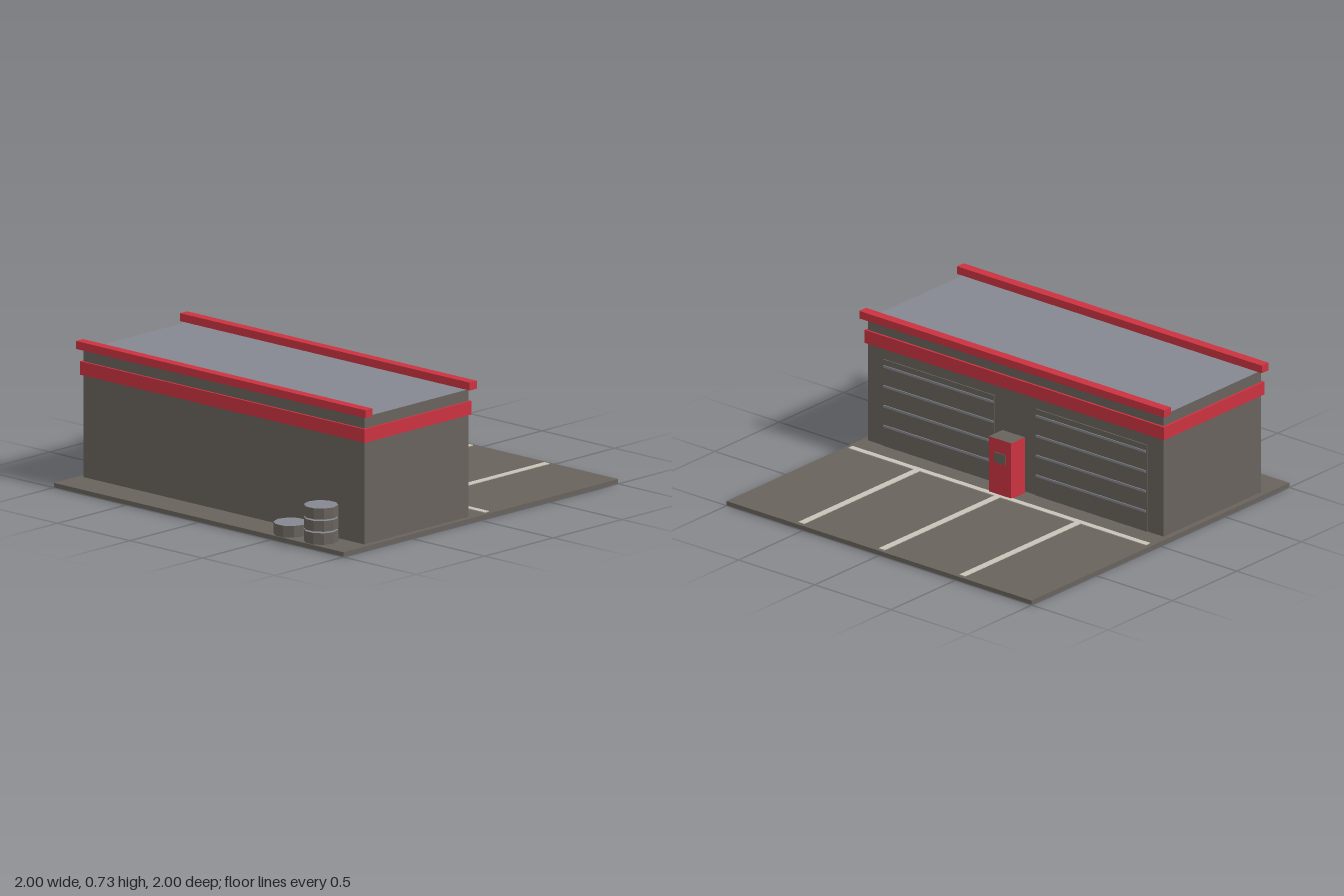
import * as THREE from 'three';

export function createModel() {
  const root = new THREE.Group();
  const mat = (name, color) => {
    const m = new THREE.MeshStandardMaterial({ color });
    m.name = name;
    return m;
  };
  const concrete = mat('warm grey', 0x69635d);
  const metal = mat('blue grey', 0x868891);
  const red = mat('red', 0xcc3340);
  const paint = mat('pale line paint', 0xc8c4b8);

  // Box given by its extents; side order is +x, -x, +y, -y, +z, -z
  function box(name, material, [x0, x1], [y0, y1], [z0, z1], parent = root) {
    const mesh = new THREE.Mesh(new THREE.BoxGeometry(x1 - x0, y1 - y0, z1 - z0), material);
    mesh.position.set((x0 + x1) / 2, (y0 + y1) / 2, (z0 + z1) / 2);
    mesh.name = name;
    parent.add(mesh);
    return mesh;
  }

  // Forecourt slab and parking lines
  box('groundSlab', concrete, [-1, 1], [0.002, 0.025], [-1, 1]);
  for (const x of [-0.528, 0, 0.528]) {
    box('parkingLine', paint, [x - 0.018, x + 0.018], [0.024, 0.029], [-0.98, -0.085]);
  }
  box('crossLine', paint, [-0.975, 0.975], [0.024, 0.029], [-0.085, -0.052]);

  // Building with a metal roof face
  box('building', [concrete, concrete, metal, concrete, concrete, concrete],
    [-0.97, 0.97], [0.02, 0.685], [0.06, 0.815]);
  box('wallBand', red, [-0.982, 0.982], [0.555, 0.625], [0.048, 0.827]);
  for (const z of [0.055, 0.813]) {
    box('roofRail', red, [-1, 1], [0.688, 0.729], [z - 0.026, z + 0.026]);
  }

  // Two roller doors with slats on the back wall
  for (const x of [-0.5, 0.5]) {
    const door = new THREE.Group();
    door.name = 'rollerDoor';
    root.add(door);
    box('doorPanel', concrete, [x - 0.365, x + 0.365], [0.025, 0.495], [0.054, 0.062], door);
    for (let i = 0; i < 4; i++) {
      const y = 0.135 + i * 0.108;
      box('doorSlat', metal, [x - 0.36, x + 0.36], [y - 0.006, y + 0.006], [0.049, 0.056], door);
    }
  }

  // Service machine between the doors
  box('machine', [red, red, concrete, red, red, red], [-0.073, 0.073], [0.025, 0.328], [-0.062, 0.044]);
  box('machineScreen', concrete, [-0.036, 0.036], [0.2, 0.255], [-0.066, -0.061]);

  // Ten-sided drums, stacked with narrow gaps
  function drum(x, y0, y1) {
    const geometry = new THREE.CylinderGeometry(0.087, 0.087, y1 - y0, 10, 1, false, Math.PI / 10).toNonIndexed();
    geometry.computeVertexNormals();
    const mesh = new THREE.Mesh(geometry, [concrete, metal, metal]);
    mesh.position.set(x, (y0 + y1) / 2, 0.91);
    mesh.name = 'drum';
    root.add(mesh);
  }
  drum(0.55, 0, 0.085);
  drum(0.76, 0, 0.085);
  drum(0.76, 0.093, 0.148);
  drum(0.76, 0.156, 0.213);

  return root;
}
